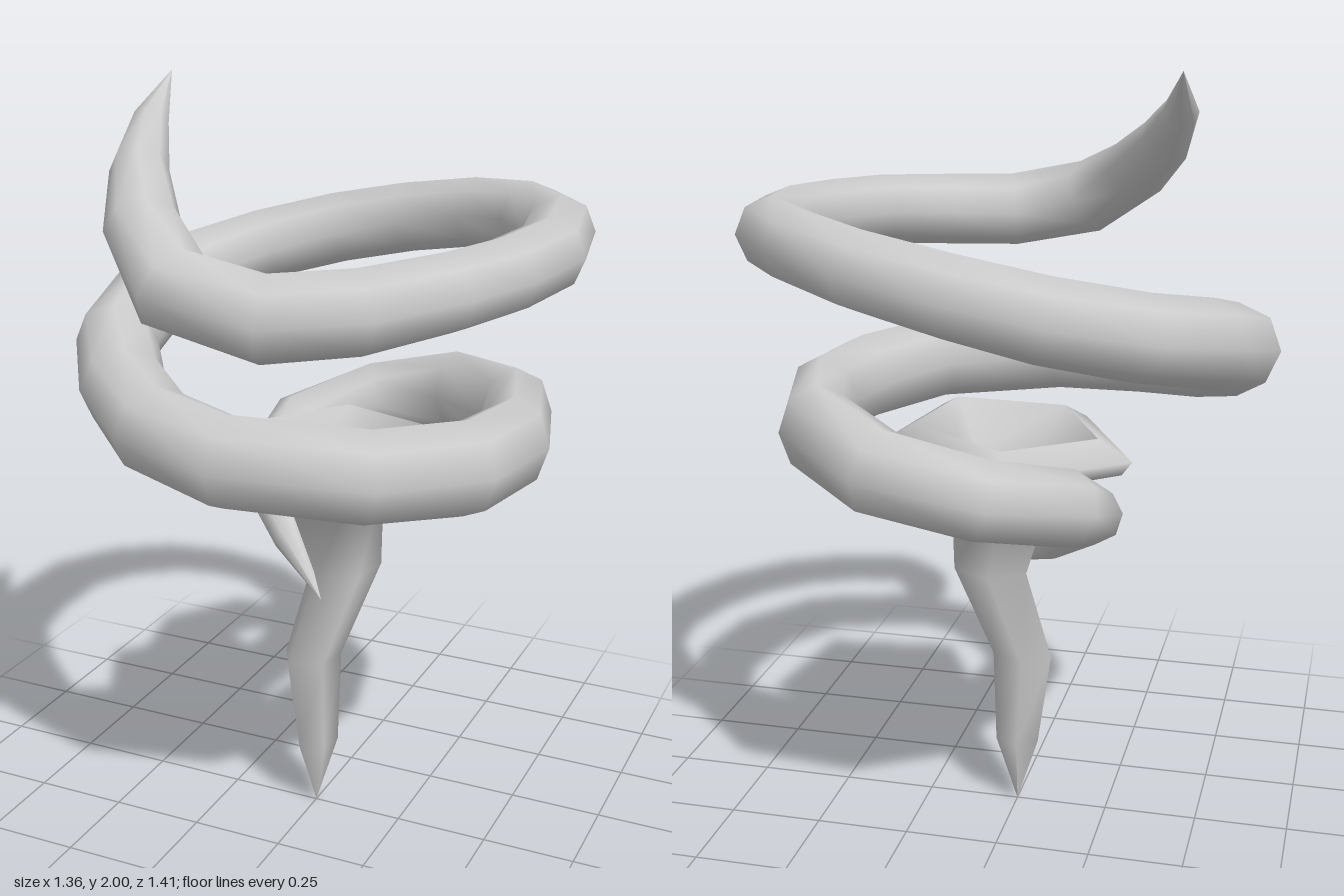
import * as THREE from 'three';

// Skin a list of equal-sized closed rings with smooth-shaded faces.
function loft(rings) {
  const n = rings[0].length, pos = [], idx = [];
  rings.forEach(r => r.forEach(p => pos.push(p.x, p.y, p.z)));
  for (let j = 0; j < rings.length - 1; j++) {
    for (let i = 0; i < n; i++) {
      const k = (i + 1) % n;
      const a = j * n + i, b = j * n + k, c = a + n, d = b + n;
      idx.push(a, c, b, b, c, d);
    }
  }
  const g = new THREE.BufferGeometry();
  g.setAttribute('position', new THREE.Float32BufferAttribute(pos, 3));
  g.setIndex(idx);
  g.computeVertexNormals();
  return g;
}

// Horizontal pentagon with a slight tilt, higher towards +x.
function pentagon([x, y, z, r]) {
  return Array.from({ length: 5 }, (_, i) => {
    const t = THREE.MathUtils.degToRad(-28 + 72 * i);
    const dx = r * Math.cos(t);
    return new THREE.Vector3(x + dx, y + 0.07 * dx, z + r * Math.sin(t));
  });
}

// Rings across a path of [x, y, z, half width, half height] stations.
function tubeRings(stations, sides) {
  const pts = stations.map(s => new THREE.Vector3(s[0], s[1], s[2]));
  const up = new THREE.Vector3(0, 1, 0);
  return pts.map((p, j) => {
    const before = pts[Math.max(j - 1, 0)], after = pts[Math.min(j + 1, pts.length - 1)];
    const t = after.clone().sub(before).normalize();
    const s = t.clone().cross(up).normalize();
    const u = s.clone().cross(t);
    const [, , , w, h = w] = stations[j];
    return Array.from({ length: sides }, (_, i) => {
      const a = (i / sides) * Math.PI * 2;
      return p.clone()
        .addScaledVector(s, 1.02 * w * Math.cos(a))
        .addScaledVector(u, 1.02 * h * Math.sin(a));
    });
  });
}

export function createModel() {
  const model = new THREE.Group();
  const material = new THREE.MeshStandardMaterial({ color: 0xcccccc });
  const add = (name, geometry) => {
    const mesh = new THREE.Mesh(geometry, material);
    mesh.name = name;
    model.add(mesh);
  };

  // Crooked stem with a flared, rounded rim
  const stem = [
    [0, 0, 0, 0], [0, 0.19, 0, 0.06], [-0.015, 0.45, 0, 0.082],
    [0.06, 0.71, -0.05, 0.1], [0.035, 0.95, -0.01, 0.142],
    [0.022, 1.01, 0, 0.31], [0.024, 1.05, 0, 0.34], [0.025, 1.1, -0.01, 0.25],
  ];
  add('stem', loft(stem.map(pentagon)));

  // Funnel inside the rim, meeting it at a sharp edge
  const funnel = [
    [0.025, 1.1, -0.01, 0.25], [0.03, 0.98, -0.01, 0.135],
    [0.045, 0.72, -0.04, 0.07], [0, 0.45, 0, 0.05], [0, 0.2, 0, 0],
  ];
  add('funnel', loft(funnel.map(pentagon)));

  // Coiling tendril, pointed at both ends, rising two turns round the stem
  const tendril = [
    [0.06, 0.67, 0.1, 0], [-0.09, 0.78, -0.02, 0.045], [-0.23, 0.91, -0.14, 0.075],
    [-0.2, 0.99, -0.33, 0.095], [-0.03, 1.05, -0.495, 0.092, 0.1],
    [0.22, 1.1, -0.495, 0.098, 0.11], [0.45, 1.13, -0.28, 0.095, 0.118],
    [0.525, 1.135, -0.02, 0.092, 0.118], [0.485, 1.14, 0.21, 0.1, 0.118],
    [0.32, 1.16, 0.415, 0.105, 0.115], [0, 1.18, 0.505, 0.105, 0.115],
    [-0.24, 1.2, 0.42, 0.11], [-0.42, 1.24, 0.26, 0.11], [-0.55, 1.3, 0.07, 0.108],
    [-0.57, 1.36, -0.13, 0.108], [-0.525, 1.42, -0.35, 0.103], [-0.4, 1.46, -0.5, 0.1],
    [-0.2, 1.51, -0.6, 0.098], [0.01, 1.555, -0.61, 0.095], [0.23, 1.595, -0.565, 0.092],
    [0.42, 1.62, -0.44, 0.09], [0.54, 1.62, -0.285, 0.09], [0.585, 1.61, -0.05, 0.09],
    [0.545, 1.6, 0.16, 0.09], [0.47, 1.59, 0.33, 0.092], [0.33, 1.57, 0.5, 0.097],
    [0.15, 1.56, 0.605, 0.1], [-0.07, 1.605, 0.605, 0.1], [-0.22, 1.7, 0.47, 0.09],
    [-0.325, 1.8, 0.3, 0.07], [-0.385, 1.89, 0.14, 0.046], [-0.41, 2.0, -0.02, 0],
  ];
  add('tendril', loft(tubeRings(tendril, 8)));

  return model;
}
